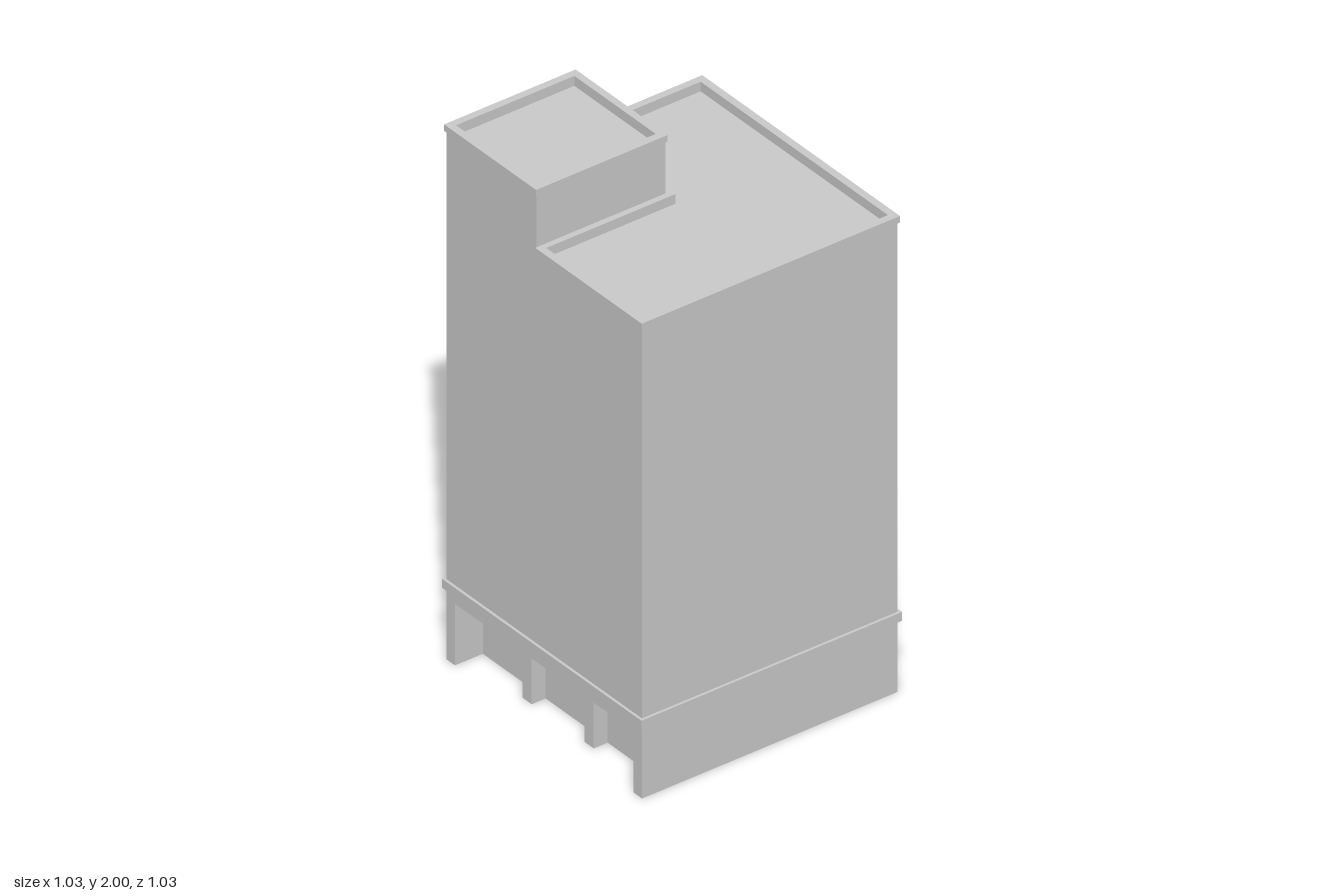
import * as THREE from 'three';

const material = new THREE.MeshStandardMaterial({ color: 0xcccccc, flatShading: true });

// Plan outlines are lists of [x, z] corners, clockwise as seen from above;
// reversed here so that walls face outward and hole walls face the opening.
const toPath = (plan) => plan.map(([x, z]) => new THREE.Vector2(x, -z)).reverse();
const rect = (x0, x1, z0, z1) => [[x0, z0], [x1, z0], [x1, z1], [x0, z1]];
const square = (h) => rect(-h, h, -h, h);

// L-shaped plan: a square of half-size h with its front corner at -x cut out to (cx, cz)
const ell = (h, cx, cz) => [[-h, -h], [h, -h], [h, h], [cx, h], [cx, cz], [-h, cz]];

export function createModel() {
  const group = new THREE.Group();

  // Raises a plan outline, with an optional hole, from y0 to y1
  function raise(name, plan, y0, y1, hole) {
    const shape = new THREE.Shape(toPath(plan));
    if (hole) shape.holes.push(new THREE.Path(toPath(hole)));
    const geometry = new THREE.ExtrudeGeometry(shape, { depth: y1 - y0, bevelEnabled: false });
    geometry.rotateX(-Math.PI / 2).translate(0, y0, 0);
    const mesh = new THREE.Mesh(geometry, material);
    mesh.name = name;
    group.add(mesh);
  }

  const W = 0.505; // half width of the walls

  // Hollow ground floor with a recessed front between two end piers
  const groundPlan = [
    [-W, -W], [W, -W], [W, W], [0.46, W],
    [0.46, 0.395], [-0.46, 0.395], [-0.46, W], [-W, W],
  ];
  raise('groundFloorWalls', groundPlan, 0, 0.23, rect(-0.48, 0.48, -0.48, 0.39));

  // Two pillars standing in the recess
  for (const side of [-1, 1]) {
    const x = side * 0.16;
    raise(side > 0 ? 'leftPillar' : 'rightPillar',
      rect(x - 0.024, x + 0.024, 0.395, 0.45), 0, 0.23);
  }

  // Lintel, belt course and main block
  raise('lintel', square(W), 0.23, 0.267);
  raise('beltCourse', square(0.515), 0.267, 0.3);
  raise('mainBlock', square(W), 0.3, 1.745);

  // Main roof edge, wrapping around the corner tower
  const roofHole = ell(0.483, -0.018, -0.028);
  raise('roofParapet', ell(W, -0.04, -0.005), 1.745, 1.756, roofHole);
  raise('roofCornice', ell(0.51, -0.04, -0.005), 1.756, 1.781, roofHole);

  // Corner tower with its own roof edge
  const towerPlan = rect(-W, -0.04, -0.005, W);
  const towerHole = rect(-0.483, -0.063, 0.016, 0.483);
  raise('cornerTower', towerPlan, 1.745, 1.963);
  raise('towerParapet', towerPlan, 1.963, 1.976, towerHole);
  raise('towerCornice', rect(-0.51, -0.035, -0.01, 0.51), 1.976, 2, towerHole);

  return group;
}
